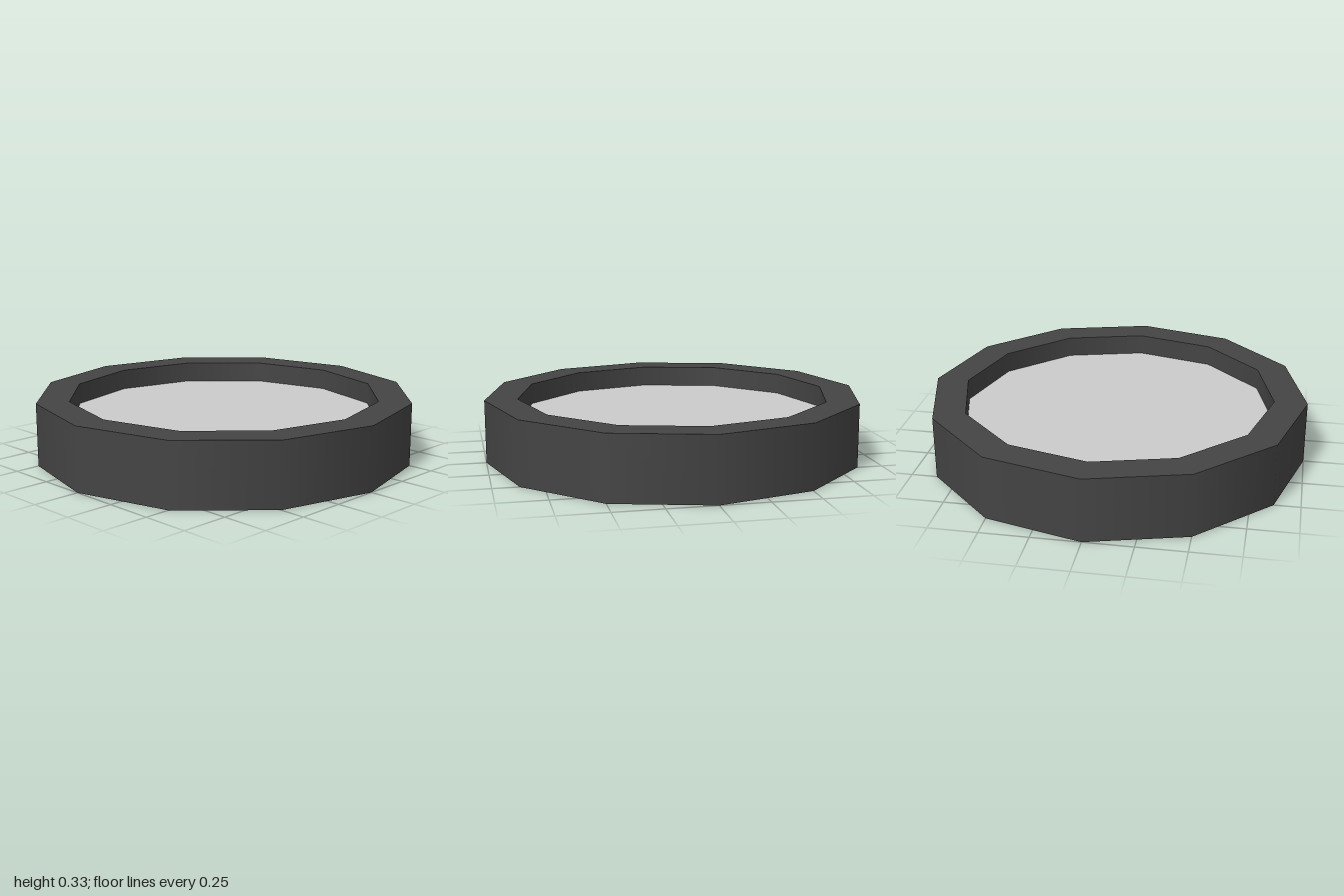
import * as THREE from 'three';
import { mergeGeometries } from 'three/addons/utils/BufferGeometryUtils.js';

const SIDES = 12;
const OUTER = 1, INNER = 0.828, HEIGHT = 0.333, FLOOR = 0.222;

// Revolves each profile step separately, so walls stay smooth and rims stay sharp
function revolve(profile) {
  const bands = [];
  for (let i = 0; i < profile.length - 1; i++) {
    const pair = [profile[i], profile[i + 1]].map(([r, y]) => new THREE.Vector2(r, y));
    bands.push(new THREE.LatheGeometry(pair, SIDES));
  }
  return mergeGeometries(bands);
}

function part(name, profile, color) {
  const mesh = new THREE.Mesh(revolve(profile), new THREE.MeshStandardMaterial({ color }));
  mesh.name = name;
  return mesh;
}

export function createModel() {
  const model = new THREE.Group();
  model.name = 'roundTray';

  // Dark casing: underside, outer wall, flat rim, inner wall
  model.add(part('casing', [[0, 0], [OUTER, 0], [OUTER, HEIGHT], [INNER, HEIGHT], [INNER, FLOOR]], 0x444444));

  // Light recessed disc
  model.add(part('recessedDisc', [[INNER, FLOOR], [0, FLOOR]], 0xcccccc));

  return model;
}
